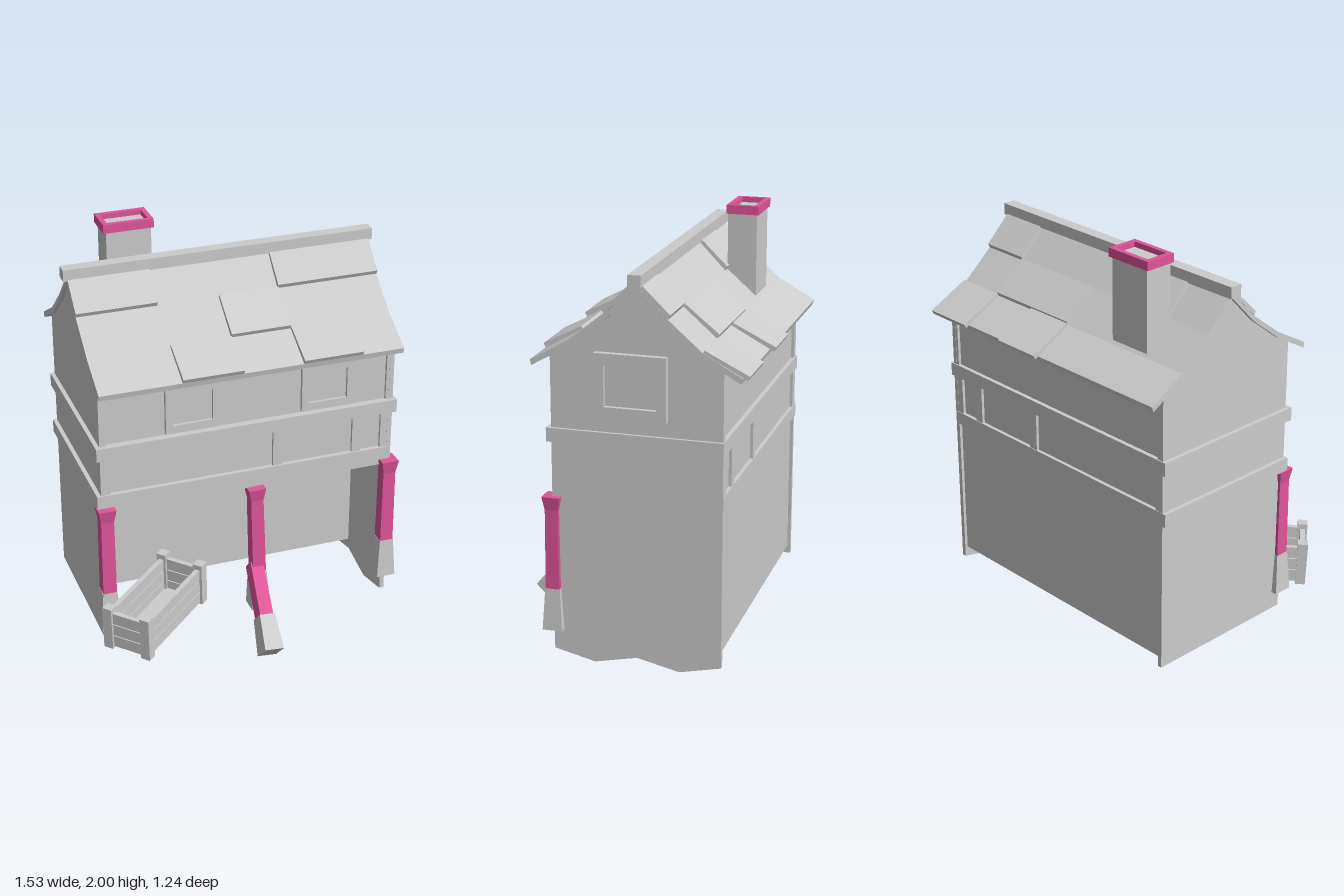
import * as THREE from 'three';

const grey = new THREE.MeshStandardMaterial({ color: 0xcccccc, flatShading: true });
const pink = new THREE.MeshStandardMaterial({ color: 0xe0559a, flatShading: true });

function add(parent, name, geometry, material = grey) {
  const mesh = new THREE.Mesh(geometry, material);
  mesh.name = name;
  parent.add(mesh);
  return mesh;
}

// Box given by its limits on each axis
function block(parent, name, [x0, x1], [y0, y1], [z0, z1], material) {
  const geo = new THREE.BoxGeometry(x1 - x0, y1 - y0, z1 - z0);
  geo.translate((x0 + x1) / 2, (y0 + y1) / 2, (z0 + z1) / 2);
  return add(parent, name, geo, material);
}

// Square bar standing on its origin, with different bottom and top widths
function taper(bottom, top, height) {
  const geo = new THREE.BoxGeometry(1, height, 1).translate(0, height / 2, 0);
  const p = geo.attributes.position;
  for (let i = 0; i < p.count; i++) {
    const w = p.getY(i) > height / 2 ? top : bottom;
    p.setX(i, p.getX(i) * w);
    p.setZ(i, p.getZ(i) * w);
  }
  geo.computeVertexNormals();
  return geo;
}

// Extrudes a [z, y] outline along x
function alongX(points, x0, x1) {
  const shape = new THREE.Shape(points.map(([z, y]) => new THREE.Vector2(z, y)));
  const geo = new THREE.ExtrudeGeometry(shape, { depth: x1 - x0, bevelEnabled: false });
  return geo.rotateY(-Math.PI / 2).translate(x1, 0, 0);
}

// Rectangular ring facing +z, centred on its origin
function ring(w, h, innerW, innerH, depth) {
  const rect = (C, a, b) => new C([[-a, -b], [a, -b], [a, b], [-a, b]]
    .map(([x, y]) => new THREE.Vector2(x / 2, y / 2)));
  const shape = rect(THREE.Shape, w, h);
  shape.holes.push(rect(THREE.Path, innerW, innerH));
  return new THREE.ExtrudeGeometry(shape, { depth, bevelEnabled: false });
}

function addWindow(parent, w, h, innerW, innerH, depth) {
  const g = new THREE.Group();
  g.name = 'window';
  add(g, 'windowFrame', ring(w, h, innerW, innerH, depth));
  block(g, 'windowPane', [-innerW / 2, innerW / 2], [-innerH / 2, innerH / 2], [-0.005, depth * 0.3]);
  parent.add(g);
  return g;
}

// Concave roof line from back eave over the ridge to front eave, as [z, y]
const ROOF = [[-0.59, 1.455], [-0.41, 1.555], [-0.255, 1.69], [-0.11, 1.84],
  [0.03, 1.695], [0.2, 1.565], [0.377, 1.465]];
const WALL_TOP = [[0.285, 1.495], [0.2, 1.545], [0.03, 1.675], [-0.11, 1.82],
  [-0.255, 1.67], [-0.41, 1.535], [-0.505, 1.482]];

function addWalls(house) {
  // Upper storey, and the lower storey set back behind the porch
  const core = WALL_TOP.map(([z, y]) => [THREE.MathUtils.clamp(z, -0.49, 0.27), y]);
  add(house, 'upperStorey', alongX([...core, [-0.49, 0.8], [0.27, 0.8]], -0.705, 0.705));
  block(house, 'lowerStorey', [-0.705, 0.705], [0.14, 0.81], [-0.49, -0.12]);

  // Gable walls, one with an uneven foot
  const uneven = [[-0.505, 0.09], [-0.31, 0.045], [-0.11, 0.09], [0.09, 0.045], [0.285, 0.09]];
  add(house, 'rightGable', alongX([...WALL_TOP, [-0.505, 0.1], [0.285, 0.1]], -0.72, -0.7));
  add(house, 'leftGable', alongX([...WALL_TOP, ...uneven], 0.7, 0.722));
}

function addTimber(house) {
  block(house, 'upperBeam', [-0.74, 0.736], [1.095, 1.16], [-0.51, 0.305]);
  block(house, 'lowerBeamFront', [-0.74, 0.7], [0.84, 0.905], [0.26, 0.292]);
  block(house, 'lowerBeamSide', [-0.74, -0.7], [0.84, 0.905], [-0.505, 0.292]);
  block(house, 'lowerBeamBack', [-0.74, 0.71], [0.84, 0.905], [-0.507, -0.48]);
  for (const z of [[0.26, 0.284], [-0.504, -0.48]]) {
    for (const x of [[-0.715, -0.675], [0.12, 0.168], [0.52, 0.565], [0.665, 0.71]])
      block(house, 'panelPost', x, [0.9, 1.1], z);
    for (const x of [[-0.715, -0.685], [0.685, 0.715]])
      block(house, 'cornerPost', x, [1.15, 1.47], z);
  }
}

function addRoof(house) {
  const under = ROOF.map(([z, y]) => [z * 0.985, y - 0.026]).reverse();
  add(house, 'roof', alongX([...ROOF, ...under], -0.738, 0.725));
  block(house, 'ridgeBeam', [-0.76, 0.745], [1.825, 1.88], [-0.14, -0.08]);

  // Raised shingles: x range and roof strip (0-2 back, 3-5 front)
  const shingles = [
    [0.48, 0.724, 0], [-0.01, 0.235, 0], [-0.01, 0.235, 1], [0.235, 0.48, 1], [0.48, 0.724, 2],
    [-0.5, -0.25, 2], [-0.74, -0.355, 3], [0.228, 0.727, 3], [-0.06, 0.23, 4],
    [-0.35, -0.06, 5], [0.23, 0.52, 5]];
  for (const [x0, x1, strip] of shingles) {
    const back = strip < 3;
    const high = ROOF[back ? strip + 1 : strip];
    let low = ROOF[back ? strip : strip + 1];
    if (strip === 0) low = [-0.61, 1.447];
    const s = back ? -1 : 1;
    add(house, 'shingle', alongX([high, low, [low[0] + s * 0.01, low[1] + 0.02],
      [high[0] + s * 0.008, high[1] + 0.012]], x0, x1));
  }
}

function addChimney(house) {
  block(house, 'chimney', [-0.506, -0.29], [1.5, 1.975], [-0.396, -0.256]);
  const cap = add(house, 'chimneyCap', ring(0.242, 0.156, 0.195, 0.11, 0.042), pink);
  cap.rotation.x = -Math.PI / 2;
  cap.position.set(-0.399, 1.958, -0.328);
}

// Pillar with a flared head on a stone foot
function addPillar(house, x, z, foot, footTop, top) {
  const g = new THREE.Group();
  g.name = 'pillar';
  g.position.set(x, 0, z);
  add(g, 'pillarFoot', taper(0.094, 0.07, footTop - foot)).position.y = foot;
  add(g, 'pillarShaft', taper(0.066, 0.062, top - 0.065 - footTop), pink).position.y = footTop;
  add(g, 'pillarHead', taper(0.062, 0.084, 0.065), pink).position.y = top - 0.065;
  house.add(g);
  return g;
}

function addPorch(house) {
  addPillar(house, -0.702, 0.285, 0.19, 0.39, 0.84);
  addPillar(house, 0.71, 0.285, 0.19, 0.39, 0.835);
  const middle = addPillar(house, 0.063, 0.27, 0.13, 0.34, 0.803);
  middle.rotation.z = 0.035;

  // Slanting prop with its own stone foot
  const prop = new THREE.Group();
  prop.name = 'prop';
  prop.position.set(0.012, 0.053, 0.57);
  const up = new THREE.Vector3(0.028, 0.29, -0.3).normalize();
  prop.quaternion.setFromUnitVectors(new THREE.Vector3(0, 1, 0), up);
  const footGeo = taper(0.135, 0.108, 0.176).scale(0.7, 1, 1);
  add(prop, 'propFoot', footGeo);
  const bar = add(prop, 'propBar', taper(0.09, 0.085, 0.27).scale(0.74, 1, 1), pink);
  bar.position.y = 0.17;
  house.add(prop);
}

function addTrough(house) {
  const g = new THREE.Group();
  g.name = 'trough';
  g.position.set(-0.485, 0.295, 0.335);
  g.rotation.set(0, 0.735, 0.035);
  const L = 0.25, W = 0.1;
  block(g, 'troughFloor', [-L, L], [-0.1, -0.085], [-W, W]);
  for (const s of [-1, 1]) {
    for (const t of [-1, 1])
      block(g, 'troughPost', [s * L - 0.024, s * L + 0.024], [-0.11, 0.11], [t * W - 0.024, t * W + 0.024]);
    // Three planks on each side and end, with narrow gaps
    for (let i = 0; i < 3; i++) {
      const y = [-0.1 + i * 0.063, -0.042 + i * 0.063];
      block(g, 'sidePlank', [-L, L], y, [s * W - 0.012, s * W + 0.012]);
      block(g, 'endPlank', [s * L - 0.012, s * L + 0.012], y, [-W, W]);
    }
  }
  house.add(g);
}

export function createModel() {
  const house = new THREE.Group();
  house.name = 'house';
  addWalls(house);
  addTimber(house);
  addRoof(house);
  addChimney(house);

  // Two front windows and one in the left gable
  for (const x of [-0.275, 0.388])
    addWindow(house, 0.26, 0.235, 0.192, 0.155, 0.02).position.set(x, 1.286, 0.268);
  const side = addWindow(house, 0.33, 0.295, 0.24, 0.19, 0.03);
  side.position.set(0.72, 1.378, -0.09);
  side.rotation.y = Math.PI / 2;

  addPorch(house);
  addTrough(house);
  return house;
}
